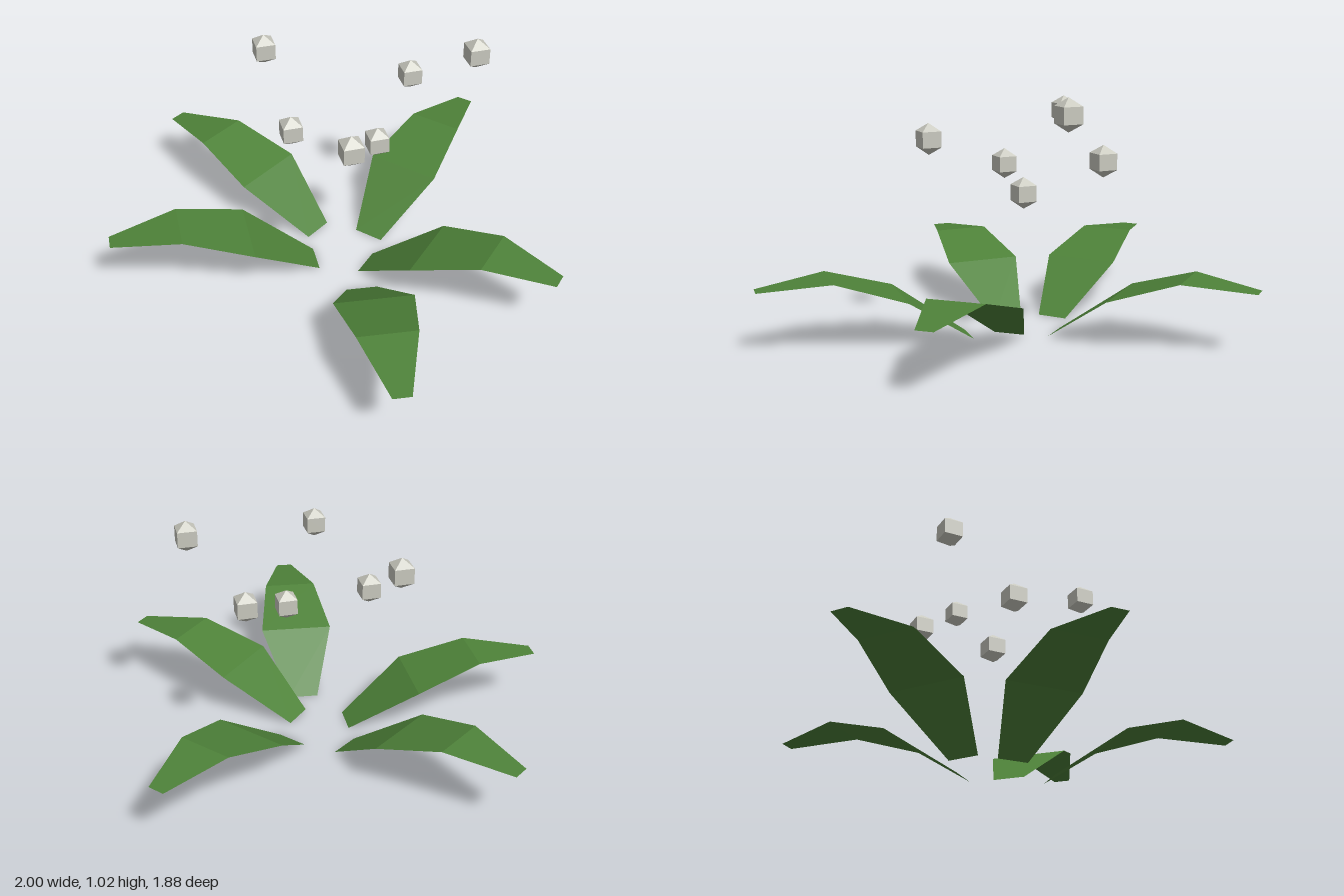
import * as THREE from 'three';

const leafGreen = new THREE.MeshStandardMaterial({ color: 0x4e8239, flatShading: true, side: THREE.DoubleSide });
leafGreen.name = 'leafGreen';
const budGrey = new THREE.MeshStandardMaterial({ color: 0xc8c8be, flatShading: true });
budGrey.name = 'budGrey';

// Leaf cross-sections: distance along, height, half width
const SECTIONS = [
  [0, 0, 0.065],
  [0.287, 0.2, 0.162],
  [0.572, 0.29, 0.118],
  [0.858, 0.26, 0.036],
];

// Leaves: base x, base z, tip x, tip z
const LEAVES = [
  [0.14, 0.085, 1.0, 0.085],
  [0.065, -0.085, 0.135, -0.942],
  [-0.15, -0.008, -0.993, -0.15],
  [-0.058, 0.165, -0.688, 0.743],
  [0.205, 0.238, 0.727, 0.916],
];

// Bud centres
const BUDS = [
  [-0.38, 0.882, 0.012],
  [-0.14, 0.67, 0.205],
  [0.135, 0.742, -0.31],
  [0.237, 0.814, 0.392],
  [0.445, 0.955, -0.26],
  [0.152, 0.6, 0.017],
];

// A folded strip along +x, facing up
function leafGeometry() {
  const geometry = new THREE.PlaneGeometry(1, 1, 1, SECTIONS.length - 1);
  const pos = geometry.attributes.position;
  SECTIONS.forEach(([along, height, half], i) => {
    pos.setXYZ(2 * i, along, height, half);
    pos.setXYZ(2 * i + 1, along, height, -half);
  });
  geometry.computeVertexNormals();
  return geometry;
}

export function createModel() {
  const model = new THREE.Group();
  model.name = 'plant';

  // Arching leaves around the centre
  const leafShape = leafGeometry();
  LEAVES.forEach(([bx, bz, tx, tz], i) => {
    const leaf = new THREE.Mesh(leafShape, leafGreen);
    leaf.name = `leaf${i + 1}`;
    leaf.position.set(bx, 0, bz);
    leaf.rotation.y = Math.atan2(bz - tz, tx - bx);
    model.add(leaf);
  });

  // Small four-sided buds floating above
  const budShape = new THREE.SphereGeometry(0.065, 4, 3);
  BUDS.forEach((centre, i) => {
    const bud = new THREE.Mesh(budShape, budGrey);
    bud.name = `bud${i + 1}`;
    bud.position.set(...centre);
    model.add(bud);
  });

  return model;
}
